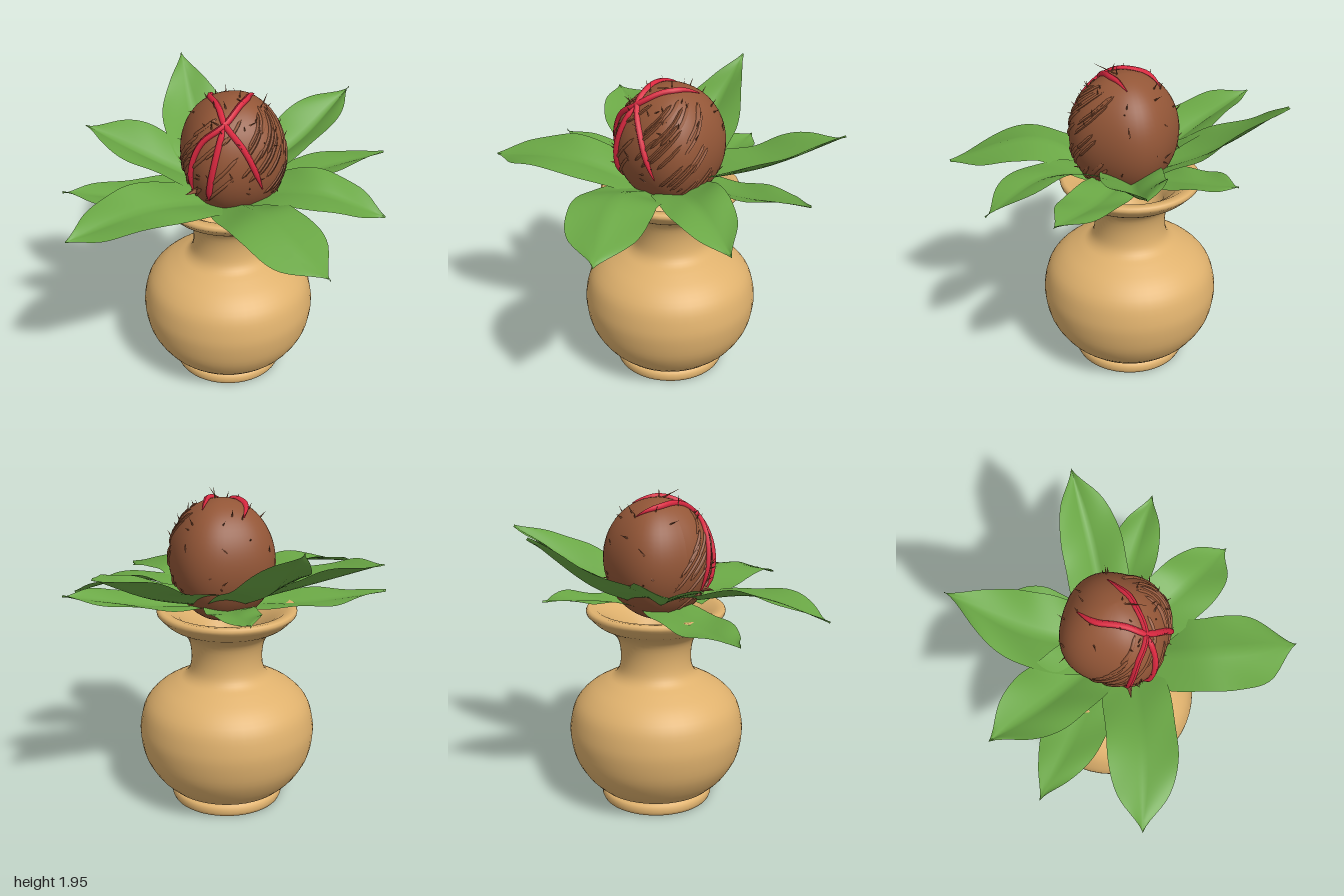
import * as THREE from 'three';

const V = (x, y, z) => new THREE.Vector3(x, y, z);
const mat = (name, color, side = THREE.FrontSide) => {
  const m = new THREE.MeshStandardMaterial({ color, side });
  m.name = name;
  return m;
};

// Seeded random numbers for the fibres
function seeded(seed) {
  return () => (seed = (seed * 16807) % 2147483647) / 2147483647;
}

// Egg-shaped seed, slightly square in plan: centre and radii, with helpers that place points on its skin
const C = V(0.035, 1.525, -0.055), R = V(0.305, 0.365, 0.308);
const onSeed = (dir, lift = 1) => {
  const p = dir.clone().normalize();
  const bulge = 1 + 0.07 * Math.sin(2 * Math.atan2(p.x, p.z)) ** 2;
  return p.multiply(V(R.x * bulge, R.y, R.z * bulge)).multiplyScalar(lift).add(C);
};
const fromFront = (x, y) => {
  const a = (x - C.x) / R.x, b = (y - C.y) / R.y;
  return V(a, b, Math.sqrt(Math.max(0, 1 - a * a - b * b))).normalize();
};
const fromTop = (x, z) => {
  const a = (x - C.x) / R.x, b = (z - C.z) / R.z;
  return V(a, Math.sqrt(Math.max(0, 1 - a * a - b * b)), b).normalize();
};

// Tapered tube that hugs the seed along a list of directions
function strand(dirs, radius, segs, sides, lift) {
  const guide = new THREE.CatmullRomCurve3(dirs);
  const pts = [];
  for (let i = 0; i <= segs; i++) pts.push(onSeed(guide.getPoint(i / segs), lift));
  const curve = new THREE.CatmullRomCurve3(pts);
  const geo = new THREE.TubeGeometry(curve, segs, radius, sides);
  const pos = geo.attributes.position, p = V(0, 0, 0);
  for (let i = 0; i < pos.count; i++) {
    const t = Math.floor(i / (sides + 1)) / segs;
    const centre = curve.getPointAt(t);
    p.fromBufferAttribute(pos, i).sub(centre).multiplyScalar(Math.min(1, 0.15 + 6 * t, 0.15 + 6 * (1 - t))).add(centre);
    pos.setXYZ(i, p.x, p.y, p.z);
  }
  geo.computeVertexNormals();
  return geo;
}

// Leaf blade swept along a midrib through three points; shape gives relative widths from base to tip,
// cup lifts both edges above the midrib
function leafGeometry({ pts, w, shape, roll = 0, cup = 0.25 }, phase) {
  const curve = new THREE.CatmullRomCurve3(pts.map(p => V(...p)));
  const outline = new THREE.SplineCurve(shape.map((s, i) => new THREE.Vector2(i, s)));
  const NU = 28, NV = 12, pos = [], idx = [];
  for (let i = 0; i <= NU; i++) {
    const t = i / NU, c = curve.getPoint(t), tan = curve.getTangent(t);
    const side = V(tan.z, 0, -tan.x).normalize();
    const up = V(0, 0, 0).crossVectors(tan, side).normalize();
    side.applyAxisAngle(tan, roll);
    up.applyAxisAngle(tan, roll);
    const half = w * Math.max(0, outline.getPoint(t).y);
    for (let j = 0; j <= NV; j++) {
      const s = (j / NV) * 2 - 1, a = Math.abs(s);
      const rise = half * cup * a * (1.5 - 0.5 * a) + 0.01 * a * Math.sin(t * 13 + s * 2 + phase);
      const p = c.clone().addScaledVector(side, s * half).addScaledVector(up, rise);
      pos.push(p.x, p.y, p.z);
    }
  }
  for (let i = 0; i < NU; i++) for (let j = 0; j < NV; j++) {
    const a = i * (NV + 1) + j, b = a + NV + 1;
    idx.push(a, b, a + 1, b, b + 1, a + 1);
  }
  const geo = new THREE.BufferGeometry();
  geo.setAttribute('position', new THREE.Float32BufferAttribute(pos, 3));
  geo.setIndex(idx);
  geo.computeVertexNormals();
  return geo;
}

export function createModel() {
  const model = new THREE.Group();
  const clay = mat('clay', 0xdfb16d, THREE.DoubleSide);
  const green = mat('leafGreen', 0x6aa745, THREE.DoubleSide);
  const brown = mat('huskBrown', 0x935637);
  const red = mat('strandRed', 0xdc2840);
  const add = (name, geo, material, parent = model) => {
    const m = new THREE.Mesh(geo, material);
    m.name = name;
    parent.add(m);
    return m;
  };

  // Vase: foot, rounded belly flowing into a waisted neck, and flared rim
  const foot = [[0, 0.045], [0.14, 0.045], [0.19, 0.025], [0.27, 0.004], [0.315, 0], [0.336, 0.006], [0.344, 0.025],
    [0.342, 0.05], [0.332, 0.064], [0.315, 0.068], [0.312, 0.08], [0.32, 0.098], [0.365, 0.1]];
  const body = [[0.365, 0.1], [0.44, 0.175], [0.507, 0.29], [0.534, 0.42], [0.53, 0.52], [0.497, 0.63],
    [0.42, 0.715], [0.32, 0.775], [0.255, 0.81], [0.222, 0.865], [0.215, 0.96], [0.235, 1.05], [0.285, 1.105],
    [0.355, 1.145], [0.402, 1.19]];
  const rim = [[0.402, 1.19], [0.418, 1.207], [0.421, 1.222], [0.415, 1.236], [0.4, 1.242], [0.36, 1.236],
    [0.29, 1.19], [0.2, 1.09], [0.17, 0.95], [0, 0.9]];
  const v2 = a => a.map(p => new THREE.Vector2(...p));
  const profiles = { vaseFoot: v2(foot), vaseBody: new THREE.SplineCurve(v2(body)).getPoints(48), vaseRim: v2(rim) };
  const vase = new THREE.Group();
  vase.name = 'vase';
  vase.position.set(0.013, 0, -0.084);
  for (const [name, p] of Object.entries(profiles)) add(name, new THREE.LatheGeometry(p, 48), clay, vase);
  model.add(vase);

  // Leaves: base, middle and tip of each midrib, half width and outline
  const broad = [0.8, 0.98, 1, 0.98, 0.7, 0];
  const leaves = [
    { name: 'backLeaf', pts: [[0, 1.27, -0.2], [-0.08, 1.46, -0.58], [-0.1, 1.79, -0.98]], w: 0.235, shape: [0.85, 0.97, 1, 0.87, 0.48, 0] },
    { name: 'lowBackLeaf', pts: [[0.05, 1.25, -0.15], [0.11, 1.32, -0.5], [0.12, 1.36, -0.79]], w: 0.145, shape: broad, cup: 0.15 },
    { name: 'backLeftLeaf', pts: [[0.1, 1.26, -0.12], [0.53, 1.41, -0.33], [0.91, 1.63, -0.56]], w: 0.18, shape: broad, cup: 0.5 },
    { name: 'leftLeaf', pts: [[0.12, 1.26, -0.1], [0.56, 1.31, -0.1], [0.99, 1.4, -0.08]], w: 0.15, roll: -0.1, shape: broad },
    { name: 'frontLeftLeaf', pts: [[0.1, 1.26, 0], [0.46, 1.36, 0.25], [0.83, 1.26, 0.43]], w: 0.18, roll: 0.18, shape: broad, cup: 0.2 },
    { name: 'frontLeaf', pts: [[0.02, 1.27, 0.1], [0.1, 1.4, 0.52], [0.33, 1.26, 0.97]], w: 0.235,
      shape: [0.75, 0.93, 0.95, 1, 0.82, 0], cup: -0.12 },
    { name: 'frontRightLeaf', pts: [[-0.06, 1.26, 0.06], [-0.54, 1.37, 0.25], [-1, 1.31, 0.38]], w: 0.2, roll: -0.15, shape: broad, cup: 0.2 },
    { name: 'rightLeaf', pts: [[-0.06, 1.25, -0.1], [-0.55, 1.235, -0.15], [-0.97, 1.28, -0.22]], w: 0.18,
      shape: [0.75, 1, 1, 0.9, 0.52, 0], cup: 0.15 },
    { name: 'backRightLeaf', pts: [[-0.06, 1.26, -0.12], [-0.43, 1.4, -0.32], [-0.78, 1.55, -0.54]], w: 0.2, roll: -0.1, shape: broad, cup: 0.4 },
  ];
  leaves.forEach((l, i) => add(l.name, leafGeometry(l, i * 1.7), green));

  // Seed husk
  const husk = new THREE.SphereGeometry(1, 48, 32), skin = husk.attributes.position;
  for (let i = 0; i < skin.count; i++) {
    const p = onSeed(V(0, 0, 0).fromBufferAttribute(skin, i));
    skin.setXYZ(i, p.x, p.y, p.z);
  }
  husk.computeVertexNormals();
  add('seedHusk', husk, brown);

  // Slanted fibres wound over the front of the husk
  const rnd = seeded(41);
  const fibres = new THREE.Group();
  fibres.name = 'huskFibres';
  model.add(fibres);
  for (let i = 0; i < 40; i++) {
    const az = (rnd() - 0.5) * 3, el = -0.7 + rnd() * 1.6, len = 0.2 + rnd() * 0.25;
    const dirs = [-1, 0, 1].map(k => {
      const a = az + k * len * 0.8, e = el + k * len * 0.75;
      return V(Math.sin(a) * Math.cos(e), Math.sin(e), Math.cos(a) * Math.cos(e));
    });
    add('fibre', strand(dirs, 0.011, 8, 5, 0.995), brown, fibres);
  }

  // Loose bristles standing off the husk
  const bristle = (dir, lean, len, width = 0.006) => {
    const m = add('bristle', new THREE.ConeGeometry(width, len, 4), brown, fibres);
    const d = dir.clone().add(lean).normalize();
    m.position.copy(onSeed(dir, 0.99)).addScaledVector(d, len * 0.4);
    m.quaternion.setFromUnitVectors(V(0, 1, 0), d);
  };
  for (let i = 0; i < 50; i++) {
    const a = rnd() * Math.PI * 2, y = -0.5 + rnd() * 1.45, r = Math.sqrt(1 - y * y);
    bristle(V(r * Math.sin(a), y, r * Math.cos(a)), V(rnd() - 0.5, rnd(), rnd() - 0.5).multiplyScalar(2.5), 0.04 + rnd() * 0.03);
  }
  bristle(V(0.05, 1, 0.15), V(0, -0.55, 1.3), 0.16);
  bristle(V(0.1, 1, 0.1), V(0, 0.5, 0), 0.07);
  bristle(V(-0.85, -0.45, 0.5), V(-0.3, 0.4, 0), 0.09, 0.022);

  // Red strands crossing near the crown and running down the front
  const knot = fromTop(-0.05, 0.13);
  const reds = [
    [fromTop(-0.03, -0.24), fromTop(-0.08, -0.1), fromTop(-0.06, 0.03), knot, fromFront(0.05, 1.65), fromFront(0.14, 1.42)],
    [fromTop(0.17, -0.13), fromTop(0.08, 0.02), knot, fromFront(-0.17, 1.7), fromFront(-0.23, 1.52), fromFront(-0.21, 1.36)],
    [knot, fromFront(-0.11, 1.65), fromFront(-0.14, 1.5), fromFront(-0.14, 1.34)],
  ];
  reds.forEach(d => add('redStrand', strand(d, 0.018, 32, 6, 1.015), red));

  return model;
}
